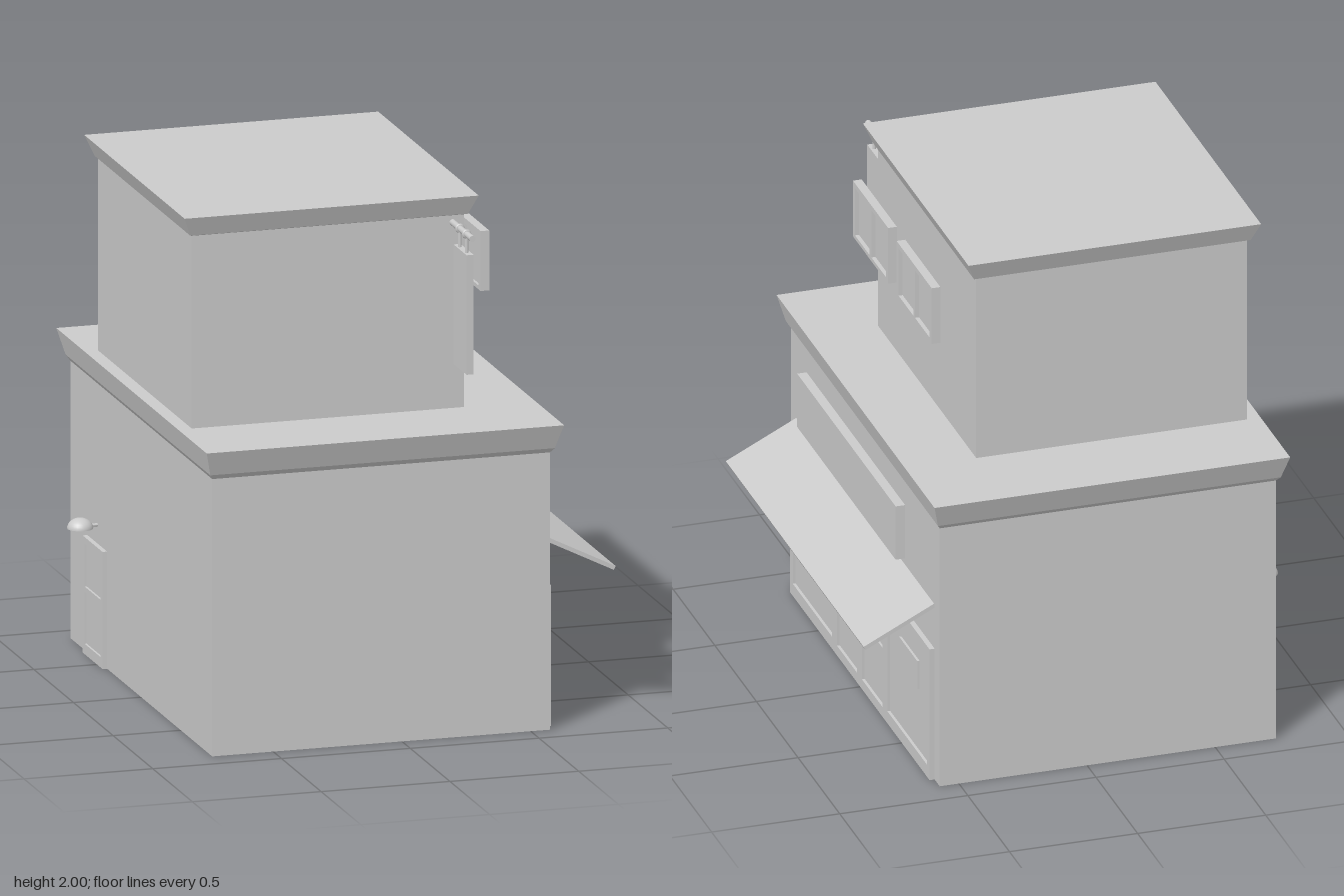
import * as THREE from 'three';

const grey = new THREE.MeshStandardMaterial({ color: 0xcccccc, side: THREE.DoubleSide });
const flat = new THREE.MeshStandardMaterial({ color: 0xcccccc, side: THREE.DoubleSide, flatShading: true });

function add(parent, name, geometry, material = grey) {
  const mesh = new THREE.Mesh(geometry, material);
  mesh.name = name;
  parent.add(mesh);
  return mesh;
}

// Box given by its limits on each axis
function box(parent, name, [x0, x1], [y0, y1], [z0, z1]) {
  const mesh = add(parent, name, new THREE.BoxGeometry(x1 - x0, y1 - y0, z1 - z0));
  mesh.position.set((x0 + x1) / 2, (y0 + y1) / 2, (z0 + z1) / 2);
  return mesh;
}

// Open-bottomed storey: rectangular rings [y, x0, x1, z0, z1] joined upward and capped by the roof
function storey(parent, name, rings) {
  const pos = [], index = [];
  for (const [y, x0, x1, z0, z1] of rings) pos.push(x0, y, z1, x1, y, z1, x1, y, z0, x0, y, z0);
  for (let r = 0; r < rings.length - 1; r++) {
    for (let i = 0; i < 4; i++) {
      const a = r * 4 + i, b = r * 4 + (i + 1) % 4;
      index.push(a, b, b + 4, a, b + 4, a + 4);
    }
  }
  const t = (rings.length - 1) * 4;
  index.push(t, t + 1, t + 2, t, t + 2, t + 3);
  let geometry = new THREE.BufferGeometry();
  geometry.setAttribute('position', new THREE.Float32BufferAttribute(pos, 3));
  geometry.setIndex(index);
  geometry = geometry.toNonIndexed();
  geometry.computeVertexNormals();
  add(parent, name, geometry, flat);
}

// Frame across the x axis with openings [z0, z1, y0, y1], each closed by a recessed pane
function framed(parent, name, [x0, x1], outer, openings, paneX) {
  const group = new THREE.Group();
  group.name = name;
  parent.add(group);
  const trace = (path, [z0, z1, y0, y1]) =>
    path.moveTo(-z1, y0).lineTo(-z0, y0).lineTo(-z0, y1).lineTo(-z1, y1).closePath();
  const shape = new THREE.Shape();
  trace(shape, outer);
  for (const o of openings) {
    const hole = new THREE.Path();
    trace(hole, o);
    shape.holes.push(hole);
    box(group, 'pane', [paneX - 0.004, paneX + 0.004], [o[2], o[3]], [o[0], o[1]]);
  }
  const geometry = new THREE.ExtrudeGeometry(shape, { depth: x1 - x0, bevelEnabled: false });
  geometry.rotateY(Math.PI / 2).translate(x0, 0, 0);
  add(group, 'frame', geometry);
  return group;
}

export function createModel() {
  const model = new THREE.Group();
  model.name = 'shopBuilding';

  // Two storeys, each with a flared cornice
  storey(model, 'lowerStorey', [
    [0, -0.737, 0.575, -0.893, 0.895],
    [1.065, -0.737, 0.575, -0.893, 0.895],
    [1.085, -0.75, 0.588, -0.912, 0.914],
    [1.18, -0.775, 0.613, -0.948, 0.95],
  ]);
  storey(model, 'upperStorey', [
    [1.18, -0.722, 0.335, -0.593, 0.588],
    [1.92, -0.722, 0.335, -0.593, 0.588],
    [1.925, -0.732, 0.347, -0.605, 0.602],
    [2, -0.763, 0.379, -0.636, 0.633],
  ]);

  // Shopfront: two display windows and two doors
  const front = framed(model, 'shopfront', [0.565, 0.595], [-0.832, 0.842, 0, 0.54], [
    [0.338, 0.81, 0.05, 0.5],
    [0.037, 0.28, 0.04, 0.5],
    [-0.265, -0.02, 0.04, 0.5],
    [-0.802, -0.325, 0.05, 0.5],
  ], 0.58);
  box(front, 'doorBar', [0.576, 0.592], [0.25, 0.28], [0.037, 0.28]);
  box(front, 'doorBar', [0.576, 0.592], [0.25, 0.28], [-0.265, -0.02]);
  box(front, 'windowNotice', [0.58, 0.593], [0.305, 0.42], [-0.68, -0.46]);

  // Sloping awning and the board above it
  const run = 0.275, drop = 0.137;
  const awning = add(model, 'awning', new THREE.BoxGeometry(Math.hypot(run, drop), 0.016, 1.655));
  awning.position.set(0.711, 0.65, -0.004);
  awning.rotation.z = -Math.atan2(drop, run);
  box(model, 'signBoard', [0.614, 0.651], [0.81, 1.03], [-0.598, 0.585]);

  // Upper windows, each with a central mullion
  for (const [x, z] of [[0.422, 0.304], [0.426, -0.232]]) {
    framed(model, 'upperWindow', [x, x + 0.034], [z - 0.211, z + 0.211, 1.6, 1.83], [
      [z - 0.187, z - 0.01, 1.615, 1.81],
      [z + 0.01, z + 0.187, 1.615, 1.81],
    ], x + 0.014);
  }

  // Hanging sign on a rod from the front wall
  const hanging = new THREE.Group();
  hanging.name = 'hangingSign';
  model.add(hanging);
  box(hanging, 'hangingBoard', [0.279, 0.306], [1.363, 1.822], [0.64, 0.805]);
  const rod = add(hanging, 'rod', new THREE.CylinderGeometry(0.012, 0.012, 0.26, 16).rotateX(Math.PI / 2));
  rod.position.set(0.291, 1.893, 0.711);
  for (const z of [0.68, 0.766]) {
    const hanger = add(hanging, 'hanger', new THREE.CylinderGeometry(0.007, 0.007, 0.07, 10));
    hanger.position.set(0.291, 1.85, z);
    const ring = add(hanging, 'ring', new THREE.TorusGeometry(0.012, 0.006, 8, 20));
    ring.position.set(0.291, 1.893, z);
  }

  // Side door on the right wall
  framed(model, 'sideDoor', [-0.755, -0.722], [-0.68, -0.43, 0, 0.45], [
    [-0.655, -0.455, 0.04, 0.24],
    [-0.655, -0.455, 0.26, 0.425],
  ], -0.743);

  // Domed lamp over the side door
  const lamp = new THREE.Group();
  lamp.name = 'sideLamp';
  lamp.position.set(-0.804, 0.514, -0.553);
  model.add(lamp);
  const dome = add(lamp, 'lampShade', new THREE.SphereGeometry(0.049, 24, 8, 0, Math.PI * 2, 0, Math.PI / 2));
  dome.scale.y = 0.8;
  add(lamp, 'lampBase', new THREE.CircleGeometry(0.049, 24).rotateX(Math.PI / 2));
  const arm = add(lamp, 'lampArm', new THREE.CylinderGeometry(0.006, 0.006, 0.07, 10).rotateZ(Math.PI / 2));
  arm.position.set(0.034, 0.008, 0);

  return model;
}
